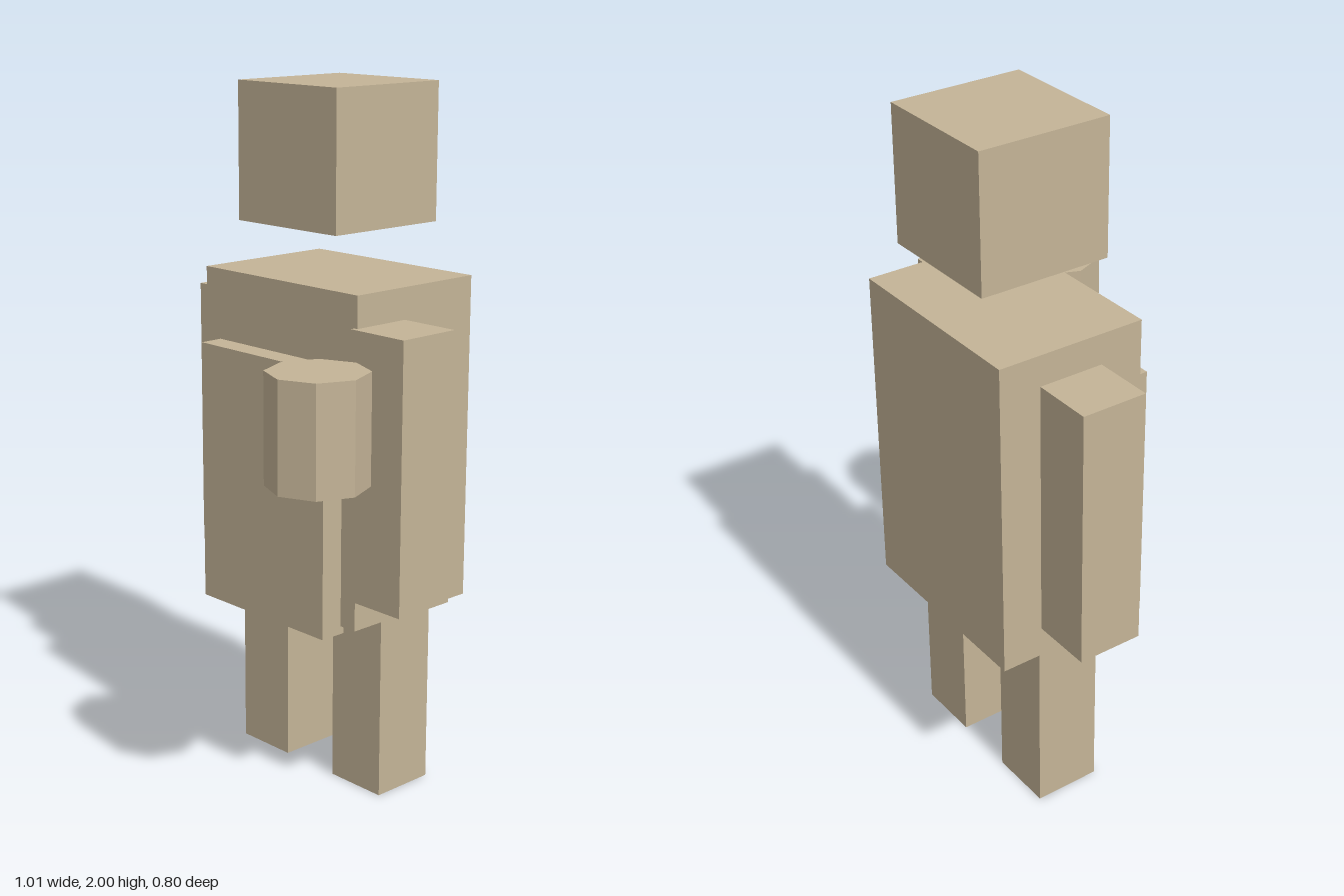
import * as THREE from 'three';

export function createModel() {
  const model = new THREE.Group();
  const material = new THREE.MeshStandardMaterial({ color: 0xc4b497, flatShading: true });

  const add = (name, geometry, x, y, z) => {
    const mesh = new THREE.Mesh(geometry, material);
    mesh.name = name;
    mesh.position.set(x, y, z);
    model.add(mesh);
  };

  // Box given by its extent along each axis
  const box = (name, [x0, x1], [y0, y1], [z0, z1]) =>
    add(name, new THREE.BoxGeometry(x1 - x0, y1 - y0, z1 - z0),
      (x0 + x1) / 2, (y0 + y1) / 2, (z0 + z1) / 2);

  // Head floats above the torso
  box('head', [-0.217, 0.17], [1.615, 2], [-0.375, 0.012]);
  box('torso', [-0.327, 0.282], [0.54, 1.475], [-0.402, 0.04]);

  // Thin panel on the front of the torso
  box('apron', [-0.27, 0.227], [0.517, 1.273], [0.028, 0.109]);

  // Arms: the left one is further forward
  box('rightArm', [-0.507, -0.315], [0.63, 1.386], [-0.279, -0.087]);
  box('leftArm', [0.27, 0.462], [0.63, 1.386], [-0.139, 0.053]);

  // Legs
  for (const [name, x] of [['rightLeg', -0.216], ['leftLeg', 0.169]])
    box(name, [x - 0.096, x + 0.096], [0, 0.56], [-0.276, -0.081]);

  // Eight-sided mug held out in front of the left arm
  add('mug', new THREE.CylinderGeometry(0.137, 0.137, 0.302, 8), 0.366, 1.173, 0.263);

  return model;
}
